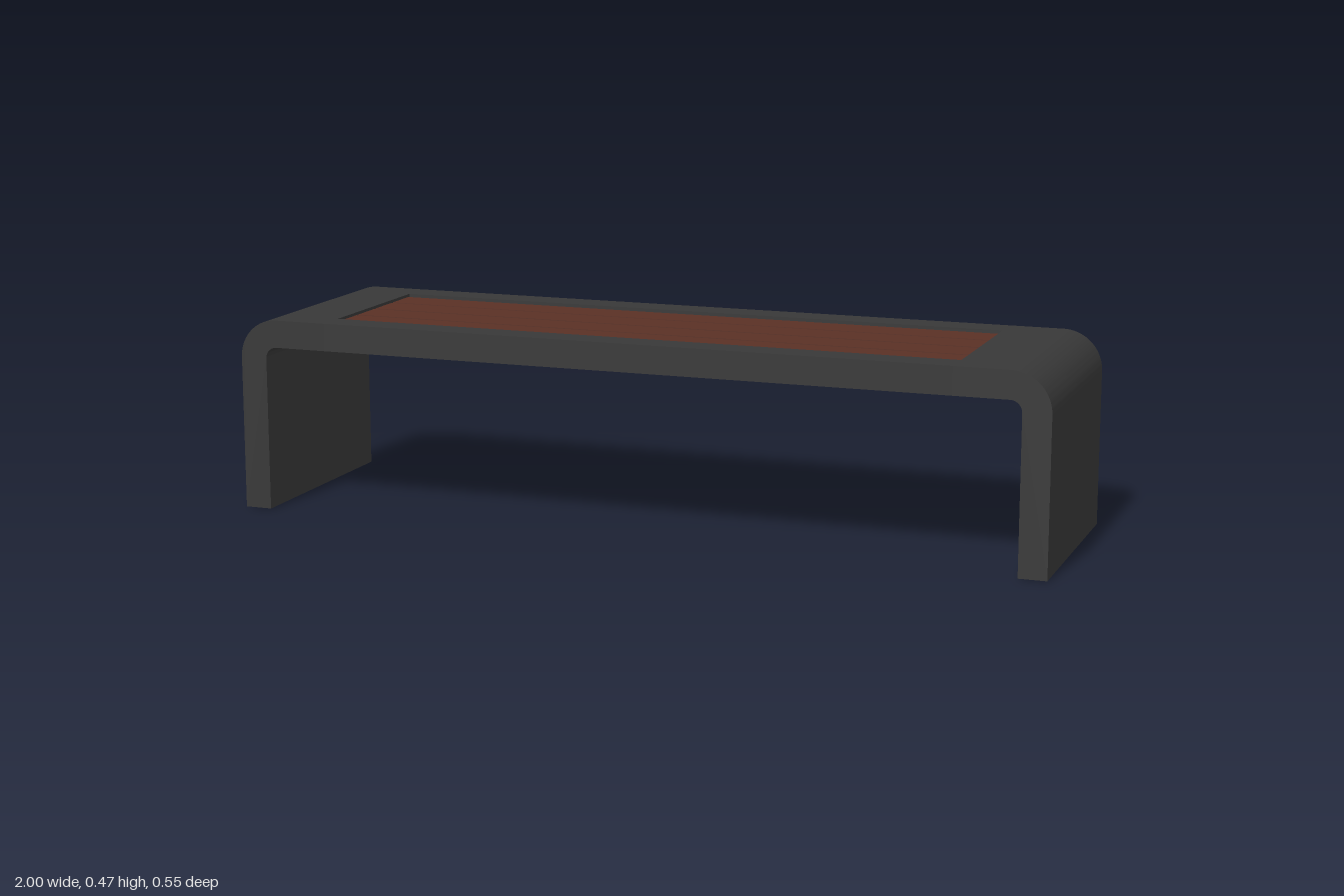
import * as THREE from 'three';
import { toCreasedNormals } from 'three/addons/utils/BufferGeometryUtils.js';

const HEIGHT = 0.47, DEPTH = 0.55, THICK = 0.067;
const OUTER_R = 0.095, INNER_R = OUTER_R - THICK;
const OPEN_X = 0.775, OPEN_Z = 0.2; // half size of the seat opening

export function createModel() {
  const bench = new THREE.Group();
  bench.name = 'bench';
  const metal = new THREE.MeshStandardMaterial({ color: 0x383838 });
  metal.name = 'charcoal metal';
  const wood = new THREE.MeshStandardMaterial({ color: 0x5a3025 });
  wood.name = 'brown wood';

  const add = (name, geometry, material, x, y, z) => {
    const mesh = new THREE.Mesh(geometry, material);
    mesh.name = name;
    mesh.position.set(x, y, z);
    bench.add(mesh);
    return mesh;
  };

  // Bent end panels: leg, rounded corner and the solid end of the seat
  const endGeometry = (side) => {
    const inner = 1 - THICK, under = HEIGHT - THICK, c = 1 - OUTER_R;
    const s = new THREE.Shape();
    s.moveTo(inner, 0);
    s.lineTo(1, 0);
    s.lineTo(1, HEIGHT - OUTER_R);
    s.absarc(c, HEIGHT - OUTER_R, OUTER_R, 0, Math.PI / 2, false);
    s.lineTo(OPEN_X, HEIGHT);
    s.lineTo(OPEN_X, under);
    s.lineTo(c, under);
    s.absarc(c, HEIGHT - OUTER_R, INNER_R, Math.PI / 2, 0, true);
    s.closePath();
    const g = new THREE.ExtrudeGeometry(s, { depth: DEPTH, bevelEnabled: false, curveSegments: 12 });
    g.translate(0, 0, -DEPTH / 2);
    if (side < 0) g.rotateY(Math.PI);
    return toCreasedNormals(g, 0.6);
  };
  add('leftEndPanel', endGeometry(1), metal, 0, 0, 0);
  add('rightEndPanel', endGeometry(-1), metal, 0, 0, 0);

  // Long rails in front of and behind the opening
  const railWidth = DEPTH / 2 - OPEN_Z;
  const rail = new THREE.BoxGeometry(OPEN_X * 2, THICK, railWidth);
  for (const side of [1, -1]) {
    add(side > 0 ? 'frontRail' : 'backRail', rail, metal,
      0, HEIGHT - THICK / 2, side * (OPEN_Z + railWidth / 2));
  }

  // Slats, set slightly below the frame
  const count = 4, gap = 0.008;
  const slatWidth = (OPEN_Z * 2 - gap * (count + 1)) / count;
  const slat = new THREE.BoxGeometry(OPEN_X * 2, THICK - 0.014, slatWidth);
  for (let i = 0; i < count; i++) {
    add('slat' + (i + 1), slat, wood, 0, HEIGHT - THICK / 2,
      (i - (count - 1) / 2) * (slatWidth + gap));
  }
  return bench;
}
